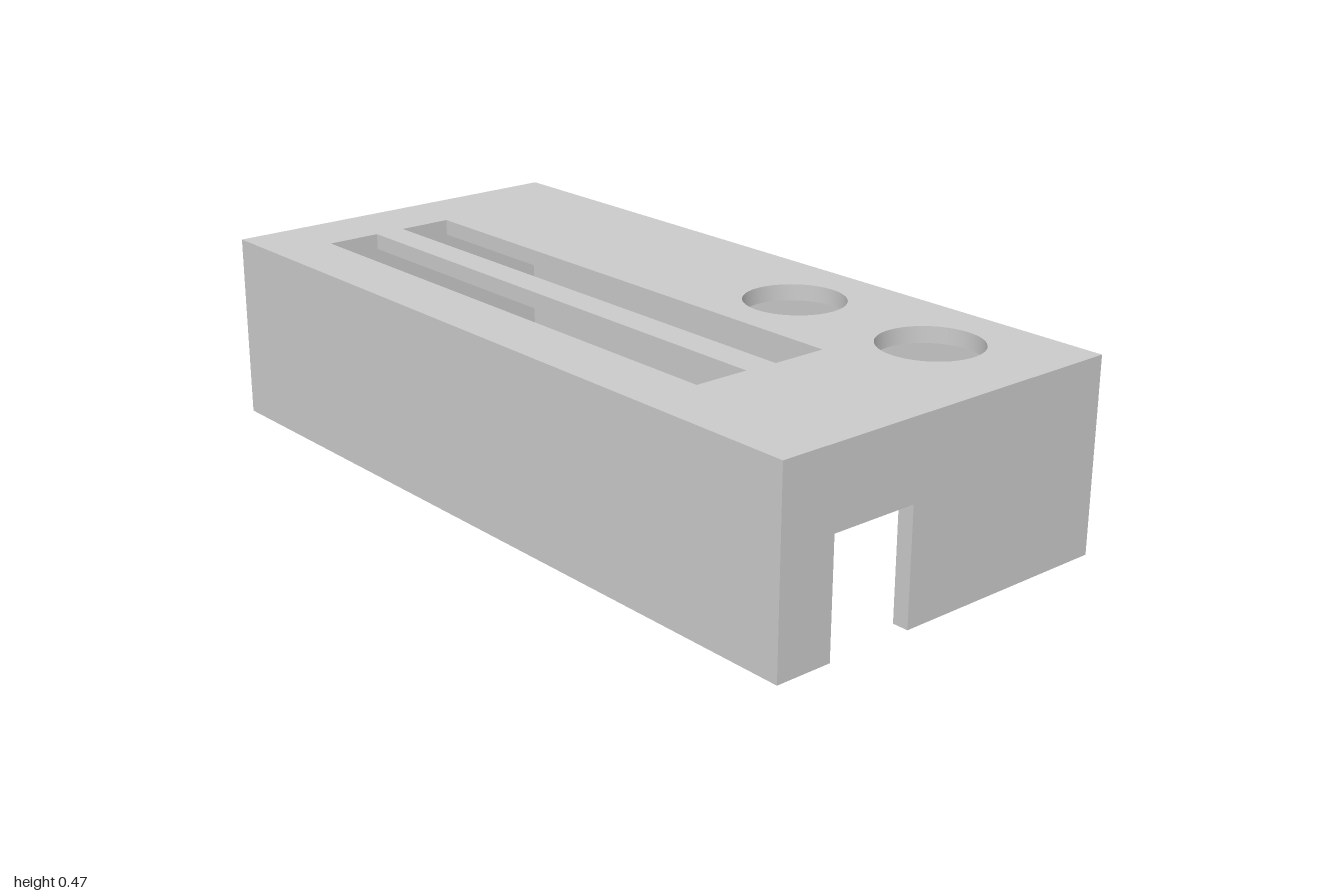
import * as THREE from 'three';
import { toCreasedNormals } from 'three/addons/utils/BufferGeometryUtils.js';

const W = 0.475, L = 1, H = 0.47, T = 0.04; // half width, half length, height, wall thickness

const polygon = (points, Type = THREE.Shape) =>
  new Type(points.map(([x, y]) => new THREE.Vector2(x, y)));

const rectangle = (x0, x1, y0, y1, Type) =>
  polygon([[x0, y0], [x1, y0], [x1, y1], [x0, y1]], Type);

// Panel with its outer face at z = 0; the inner face is drawn in so neighbours meet in a mitre.
function panel(name, shape, halfX, minY, maxY) {
  const geometry = new THREE.ExtrudeGeometry(shape, { depth: T, bevelEnabled: false, curveSegments: 32 });
  geometry.translate(0, 0, -T);
  const p = geometry.attributes.position;
  for (let i = 0; i < p.count; i++) {
    if (p.getZ(i) > -T / 2) continue;
    p.setX(i, THREE.MathUtils.clamp(p.getX(i), -halfX + T, halfX - T));
    p.setY(i, THREE.MathUtils.clamp(p.getY(i), minY, maxY));
  }
  const mesh = new THREE.Mesh(toCreasedNormals(geometry, 0.5),
    new THREE.MeshStandardMaterial({ color: 0xcccccc }));
  mesh.name = name;
  return mesh;
}

// End wall with a cable notch open to the bottom, from x0 to x1.
function endWall(name, x0, x1, notchHeight) {
  const shape = polygon([
    [-W, 0], [x0, 0], [x0, notchHeight], [x1, notchHeight],
    [x1, 0], [W, 0], [W, H], [-W, H],
  ]);
  return panel(name, shape, W, 0, H - T);
}

export function createModel() {
  const model = new THREE.Group();
  model.name = 'openBottomEnclosure';

  // Top plate with two long slots and two round holes (local y is -z)
  const top = rectangle(-W, W, -L, L);
  top.holes.push(rectangle(-0.32, -0.18, -0.585, 0.82, THREE.Path));
  top.holes.push(rectangle(-0.1, 0.04, -0.59, 0.82, THREE.Path));
  for (const z of [0.29, 0.712]) {
    top.holes.push(new THREE.Path().absarc(0.25, -z, 0.123, 0, Math.PI * 2, true));
  }
  const topPlate = panel('topPlate', top, W, -L + T, L - T);
  topPlate.rotation.x = -Math.PI / 2;
  topPlate.position.y = H;
  model.add(topPlate);

  // Notched end walls
  const front = endWall('frontWall', -0.33, -0.105, 0.28);
  front.position.z = L;
  const back = endWall('backWall', 0.015, 0.2, 0.24);
  back.rotation.y = Math.PI;
  back.position.z = -L;
  model.add(front, back);

  // Plain side walls
  for (const [name, side] of [['leftWall', 1], ['rightWall', -1]]) {
    const wall = panel(name, rectangle(-L, L, 0, H), L, 0, H - T);
    wall.rotation.y = side * Math.PI / 2;
    wall.position.x = side * W;
    model.add(wall);
  }
  return model;
}
